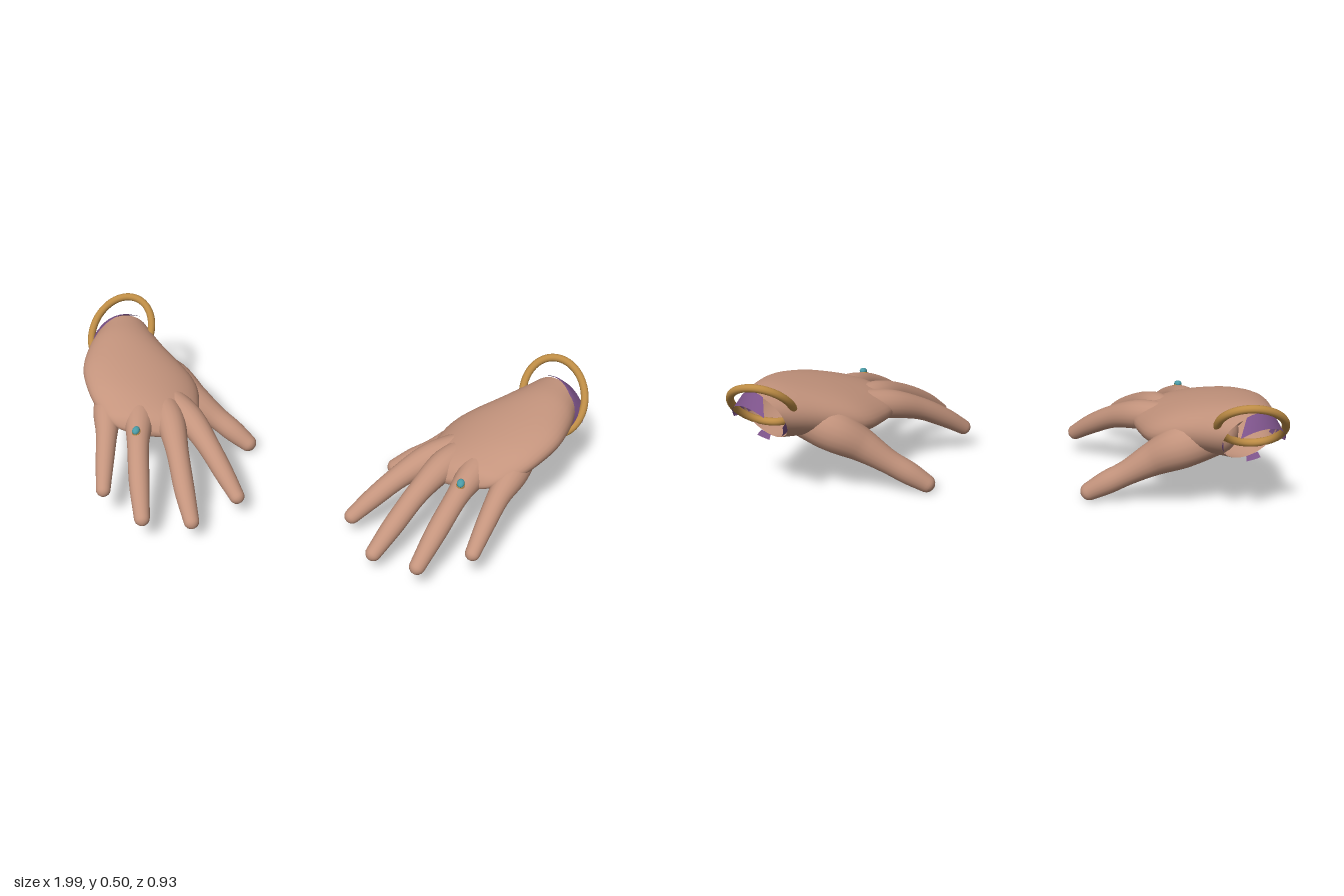
import * as THREE from 'three';

const V = (x, y, z) => new THREE.Vector3(x, y, z);
const smooth = points => new THREE.CatmullRomCurve3(points, false, 'catmullrom', 0.5);

const skin = new THREE.MeshStandardMaterial({ color: 0xc4947d, side: THREE.DoubleSide });
skin.name = 'skin';
const gold = new THREE.MeshStandardMaterial({ color: 0xbd8c45 });
gold.name = 'gold';
const purple = new THREE.MeshStandardMaterial({ color: 0x7b5288, side: THREE.DoubleSide });
purple.name = 'purple cloth';
const teal = new THREE.MeshStandardMaterial({ color: 0x4a9ba6 });
teal.name = 'teal stone';

// Skin a list of point rings; closed joins the last point of a ring to its first.
function loft(rings, closed = true) {
  const n = rings[0].length;
  const index = [];
  for (let i = 0; i < rings.length - 1; i++) {
    for (let j = 0; j < (closed ? n : n - 1); j++) {
      const k = (j + 1) % n;
      const a = i * n + j, b = i * n + k, c = a + n, d = b + n;
      index.push(a, b, d, a, d, c);
    }
  }
  const geo = new THREE.BufferGeometry().setFromPoints(rings.flat());
  geo.setIndex(index);
  geo.computeVertexNormals();
  return geo;
}

// Oval ring around c spanned by half-axes w and h.
function oval(c, w, h, n) {
  return arc(c, w, h, n + 1, 0, Math.PI * 2).slice(0, n);
}

// Part of such an oval, between two angles.
function arc(c, w, h, n, from, to) {
  const points = [];
  for (let j = 0; j < n; j++) {
    const a = from + (to - from) * j / (n - 1);
    points.push(c.clone().addScaledVector(w, Math.cos(a)).addScaledVector(h, Math.sin(a)));
  }
  return points;
}

// Rounded limb through [x, y, z, radius] points, with domed ends.
function limb(points) {
  const path = smooth(points.map(p => V(p[0], p[1], p[2])));
  const radii = smooth(points.map(p => V(p[3], 0, 0)));
  const rings = [];
  const add = (t, shift, scale) => {
    const tangent = path.getTangent(t);
    const side = V(0, 1, 0).cross(tangent).normalize();
    const up = tangent.clone().cross(side);
    const r = radii.getPoint(t).x;
    const c = path.getPoint(t).addScaledVector(tangent, r * shift);
    rings.push(oval(c, side.multiplyScalar(r * scale), up.multiplyScalar(r * scale), 20));
  };
  const dome = [0.02, 0.35, 0.65, 0.85, 0.96];
  dome.forEach(s => add(0, -Math.sqrt(1 - s * s), s));
  for (let i = 0; i <= 28; i++) add(i / 28, 0, 1);
  dome.reverse().forEach(s => add(1, Math.sqrt(1 - s * s), s));
  return loft(rings);
}

// Palm cross-sections from wrist to knuckles: centre, half-width, half-thickness.
const sections = [
  [V(0.86, 0.335, -0.335), V(0.095, 0.015, 0.055), V(0, 0.095, -0.05)],
  [V(0.805, 0.333, -0.25), V(0.142, 0.027, 0.063), V(0, 0.098, -0.025)],
  [V(0.72, 0.314, -0.145), V(0.2, 0.045, 0.073), V(0, 0.092, -0.01)],
  [V(0.663, 0.297, -0.04), V(0.198, 0.04, 0.068), V(0, 0.08, 0.005)],
  [V(0.62, 0.28, 0.045), V(0.176, 0.028, 0.05), V(0, 0.065, 0.012)],
  [V(0.6, 0.272, 0.095), V(0.14, 0.024, 0.04), V(0, 0.046, 0.01)],
  [V(0.598, 0.264, 0.125), V(0.085, 0.015, 0.022), V(0, 0.02, 0.004)],
  [V(0.598, 0.262, 0.132), V(0.005, 0.001, 0.001), V(0, 0.001, 0)],
];

function palm() {
  const [c, w, h] = [0, 1, 2].map(k => smooth(sections.map(s => s[k])));
  const rings = [];
  for (let i = 0; i <= 42; i++) {
    const t = i / 42;
    rings.push(oval(c.getPoint(t), w.getPoint(t), h.getPoint(t), 40));
  }
  return loft(rings);
}

const digits = {
  thumb: [[0.74, 0.3, -0.215, 0.088], [0.63, 0.25, -0.242, 0.083], [0.53, 0.186, -0.228, 0.062],
    [0.44, 0.124, -0.22, 0.046], [0.365, 0.075, -0.21, 0.043], [0.303, 0.033, -0.202, 0.034]],
  indexFinger: [[0.57, 0.285, -0.07, 0.055], [0.465, 0.262, 0.0, 0.054], [0.37, 0.215, 0.08, 0.043],
    [0.285, 0.15, 0.152, 0.037], [0.222, 0.093, 0.202, 0.029]],
  middleFinger: [[0.6, 0.29, -0.06, 0.05], [0.525, 0.276, 0.05, 0.055], [0.457, 0.232, 0.175, 0.042],
    [0.393, 0.158, 0.295, 0.038], [0.342, 0.088, 0.378, 0.029]],
  ringFinger: [[0.69, 0.3, -0.06, 0.05], [0.643, 0.289, 0.07, 0.056], [0.602, 0.263, 0.2, 0.041],
    [0.555, 0.193, 0.33, 0.038], [0.512, 0.112, 0.435, 0.029]],
  littleFinger: [[0.8, 0.305, -0.06, 0.055], [0.774, 0.288, 0.06, 0.055], [0.743, 0.256, 0.16, 0.041],
    [0.715, 0.2, 0.265, 0.034], [0.692, 0.144, 0.352, 0.027]],
};

// Strip of sleeve lining on the wrist rim between two angles; its free edge
// leans from start to end, and overlap is how far it lies back on the wrist.
function cuffFlap(from, to, scale, overlap, start, end) {
  const [c, w, h] = sections[0];
  const n = 18;
  const middle = arc(c, w, h, n, from, to).map(p => p.sub(c).multiplyScalar(scale).add(c));
  const inner = middle.map((p, j) =>
    p.clone().addScaledVector(V(-0.5, 0, 0.85), overlap * (1 - j / (n - 1))));
  const outer = middle.map((p, j) => p.clone().add(start.clone().lerp(end, j / (n - 1))));
  return loft([outer, middle, inner], false);
}

// Oval bangle hanging loosely on the wrist.
function bangle() {
  const long = V(-0.25, 0.69, -0.69).multiplyScalar(0.147);
  const short = V(0.97, 0.24, -0.11).multiplyScalar(0.115);
  const curve = new THREE.CatmullRomCurve3(oval(V(0.864, 0.377, -0.343), long, short, 24), true);
  return new THREE.TubeGeometry(curve, 72, 0.0145, 12, true);
}

function gem(x, y, z, sx, sy, sz) {
  return new THREE.SphereGeometry(1, 20, 14).scale(sx, sy, sz).rotateX(0.3).translate(x, y, z);
}

// Mirror a geometry across x = 0 and keep its faces outward.
function mirrored(geo) {
  const copy = geo.clone().scale(-1, 1, 1);
  const a = copy.index.array;
  for (let i = 0; i < a.length; i += 3) [a[i], a[i + 1]] = [a[i + 1], a[i]];
  return copy;
}

export function createModel() {
  const parts = [
    ['palm', palm(), skin],
    ...Object.entries(digits).map(([name, points]) => [name, limb(points), skin]),
    ['bangle', bangle(), gold],
    ['upperCuff', cuffFlap(-0.4, 1.75, 1.05, 0.04, V(0.033, 0, -0.035), V(-0.02, -0.05, -0.07)), purple],
    ['innerCuff', cuffFlap(3.0, 3.6, 0.98, 0.01, V(0, 0, -0.04), V(0.01, 0, -0.03)), purple],
    ['lowerCuff', cuffFlap(-1.6, -1.2, 1.03, 0.01, V(0, -0.01, -0.02), V(0.01, -0.01, -0.025)), purple],
    ['ringSetting', gem(0.61, 0.309, 0.188, 0.016, 0.009, 0.019), gold],
    ['ringStone', gem(0.61, 0.317, 0.19, 0.014, 0.012, 0.018), teal],
  ];
  const model = new THREE.Group();
  model.name = 'hands';
  for (const side of ['left', 'right']) {
    const hand = new THREE.Group();
    hand.name = side + 'Hand';
    for (const [name, geo, material] of parts) {
      const mesh = new THREE.Mesh(side === 'left' ? geo : mirrored(geo), material);
      mesh.name = name;
      hand.add(mesh);
    }
    model.add(hand);
  }
  return model;
}
